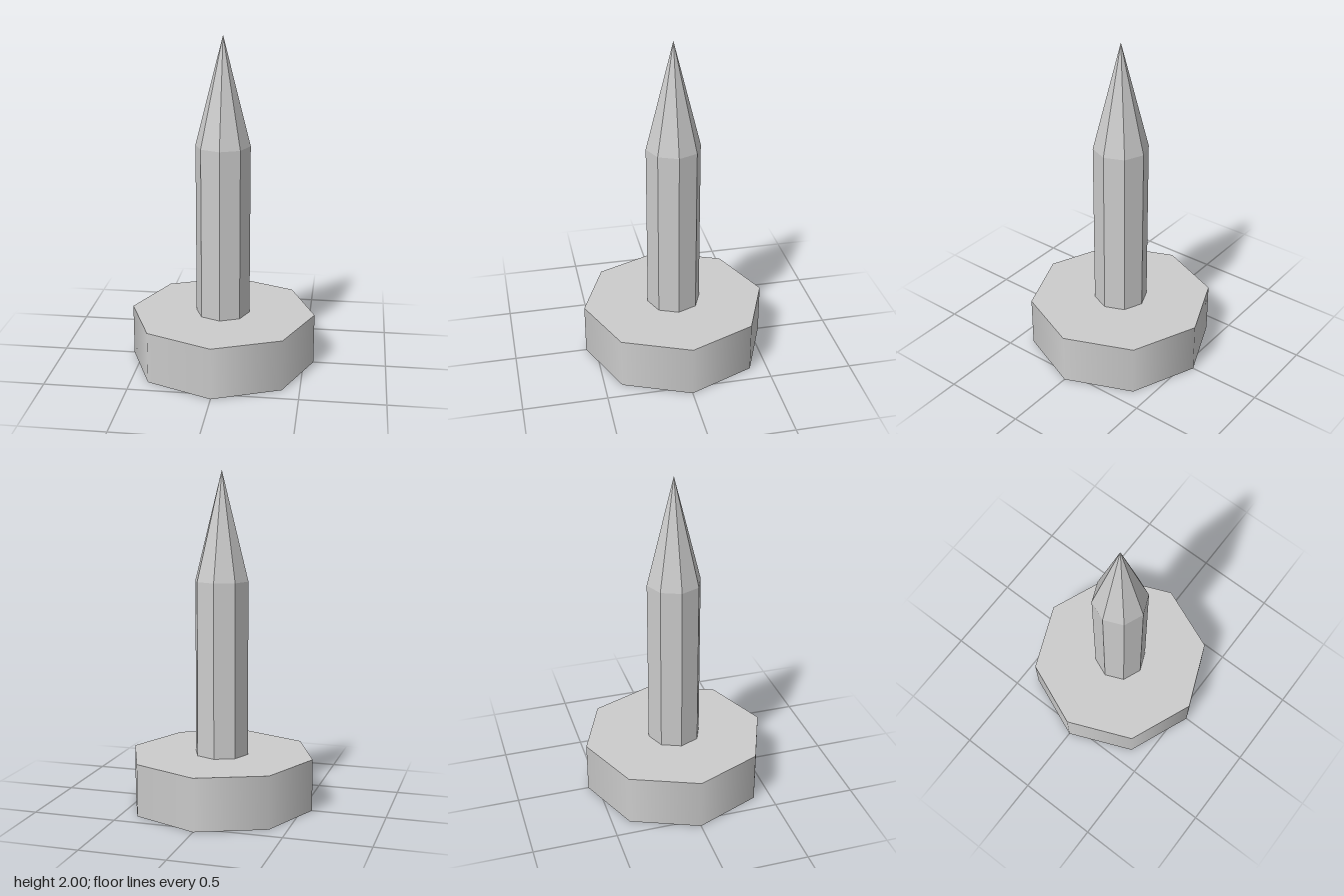
import * as THREE from 'three';

const SIDES = 8;

export function createModel() {
  const model = new THREE.Group();
  const smooth = new THREE.MeshStandardMaterial({ color: 0xcccccc });
  const faceted = new THREE.MeshStandardMaterial({ color: 0xcccccc, flatShading: true });

  // Eight-sided section standing between two heights
  function addSection(name, radiusTop, radiusBottom, y0, y1, open, material) {
    const geometry = new THREE.CylinderGeometry(radiusTop, radiusBottom, y1 - y0, SIDES, 1, open);
    const mesh = new THREE.Mesh(geometry, material);
    mesh.name = name;
    mesh.position.y = (y0 + y1) / 2;
    model.add(mesh);
  }

  // Wide head with smooth-shaded rim and flat caps
  addSection('head', 0.56, 0.56, 0, 0.313, false, smooth);
  // Faceted shaft rising from the head
  addSection('shaft', 0.163, 0.163, 0.313, 1.355, true, faceted);
  // Sharp point
  addSection('point', 0, 0.163, 1.355, 2, true, faceted);

  return model;
}
